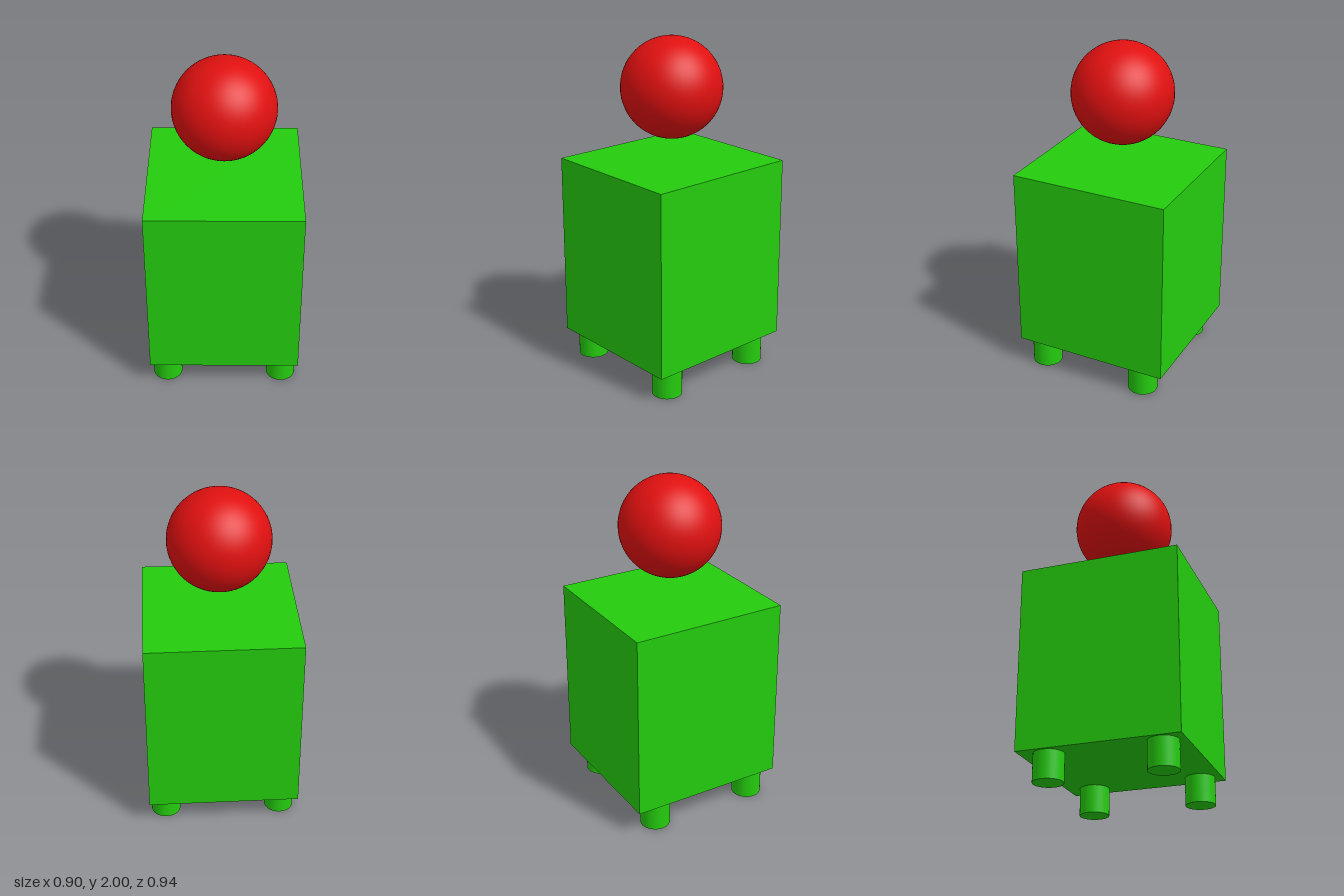
import * as THREE from 'three';

export function createModel() {
  const model = new THREE.Group();
  const green = new THREE.MeshStandardMaterial({ color: 0x24cc0e });
  const red = new THREE.MeshStandardMaterial({ color: 0xe01010 });

  const add = (name, geometry, material, x, y, z) => {
    const mesh = new THREE.Mesh(geometry, material);
    mesh.name = name;
    mesh.position.set(x, y, z);
    model.add(mesh);
    return mesh;
  };

  // Box body
  const bottom = 0.165, top = 1.27;
  add('body', new THREE.BoxGeometry(0.897, top - bottom, 0.945), green, 0, (top + bottom) / 2, 0);

  // Floating ball head, very slightly flattened
  const head = add('head', new THREE.SphereGeometry(1, 48, 32), red, 0, 1.703, 0);
  head.scale.set(0.299, 0.297, 0.296);

  // Four short round legs, set a little towards the front
  const legGeometry = new THREE.CylinderGeometry(0.088, 0.088, bottom, 32);
  for (const [end, z] of [['front', 0.344], ['back', -0.311]]) {
    for (const [side, x] of [['Left', 0.349], ['Right', -0.349]]) {
      add(`${end}${side}Leg`, legGeometry, green, x, bottom / 2, z);
    }
  }

  return model;
}
